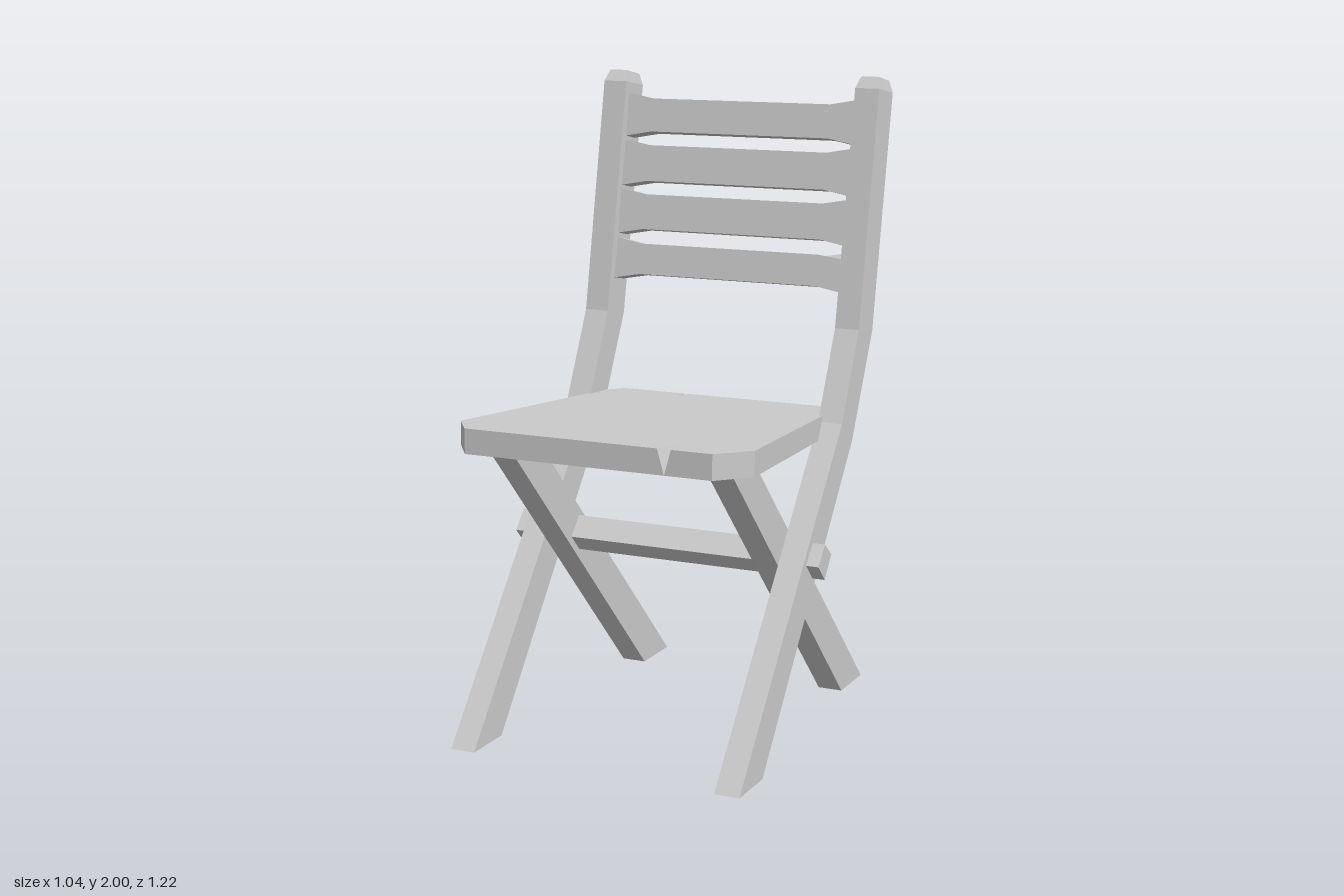
import * as THREE from 'three';

const material = new THREE.MeshStandardMaterial({ color: 0xcccccc, flatShading: true });

// Closed solid through a list of four-cornered cross-sections
function loft(name, rings) {
  const pos = [];
  const quad = (a, b, c, d) => pos.push(...a, ...b, ...c, ...a, ...c, ...d);
  for (let r = 0; r < rings.length - 1; r++) {
    for (let i = 0; i < 4; i++) {
      const j = (i + 1) % 4;
      quad(rings[r][i], rings[r][j], rings[r + 1][j], rings[r + 1][i]);
    }
  }
  const [a, b, c, d] = rings[0];
  quad(d, c, b, a);
  quad(...rings[rings.length - 1]);
  const geometry = new THREE.BufferGeometry();
  geometry.setAttribute('position', new THREE.Float32BufferAttribute(pos, 3));
  geometry.computeVertexNormals();
  const mesh = new THREE.Mesh(geometry, material);
  mesh.name = name;
  return mesh;
}

// Upright member: each section is [front z, front y, back z, back y, inset]
function upright(name, x0, x1, sections) {
  return loft(name, sections.map(([fz, fy, bz, by, inset = 0]) => [
    [x0 + inset, fy, fz], [x1 - inset, fy, fz],
    [x1 - inset, by, bz], [x0 + inset, by, bz],
  ]));
}

// Back slat with flared ends, tilted with the posts; chip lowers one corner
function slat(top, bottom, chip = 0) {
  const lean = 0.195, thick = 0.065;
  const ring = (x, flare, drop) => {
    const front = (y) => [x, y, -0.49 + (1.91 - y) * lean];
    const back = (y) => [x, y - thick * lean, front(y)[2] - thick];
    const hi = top + flare, lo = bottom - flare;
    return [front(lo), back(lo), back(hi), front(hi - drop)];
  };
  return loft('backSlat', [
    ring(-0.41, 0.018, 0), ring(-0.31, 0, 0), ring(0.31, 0, 0), ring(0.41, 0.018, chip),
  ]);
}

// Sloping seat board with clipped corners, a split in front and a crack behind
function seat() {
  const outline = [
    [-0.4, 0.61], [0.228, 0.61], [0.26, 0.495], [0.272, 0.61], [0.4, 0.61],
    [0.48, 0.495], [0.402, -0.3], [0.364, -0.377],
    [-0.134, -0.377], [-0.135, -0.29], [-0.145, -0.377],
    [-0.364, -0.377], [-0.402, -0.3], [-0.48, 0.495],
  ];
  const shape = new THREE.Shape(outline.map(([x, z]) => new THREE.Vector2(x, -z)));
  const geometry = new THREE.ExtrudeGeometry(shape, { depth: 1, bevelEnabled: false });
  const p = geometry.attributes.position;
  for (let i = 0; i < p.count; i++) {
    let x = p.getX(i), z = -p.getY(i);
    const isTop = p.getZ(i) > 0.5;
    // both splits close to a point at the underside
    if (!isTop && Math.abs(x - 0.25) < 0.03) { x = 0.25; z = 0.61; }
    if (!isTop && Math.abs(x + 0.14) < 0.02) { x = -0.14; z = -0.377; }
    p.setXYZ(i, x, isTop ? 0.98 + 0.0537 * z : 0.906 + 0.0486 * z, z);
  }
  geometry.computeVertexNormals();
  const mesh = new THREE.Mesh(geometry, material);
  mesh.name = 'seat';
  return mesh;
}

export function createModel() {
  const chair = new THREE.Group();
  chair.name = 'foldingChair';

  for (const side of [-1, 1]) {
    const span = (a, b) => (side > 0 ? [a, b] : [-b, -a]);
    // bent front leg that continues up as the back post
    chair.add(upright('frontLegAndBackPost', ...span(0.4, 0.48), [
      [0.59, 0, 0.42, 0],
      [-0.19, 0.95, -0.28, 0.88],
      [-0.325, 1.225, -0.445, 1.205],
      [-0.47, 1.965, -0.594, 1.945],
      [-0.495, 2.0, -0.588, 1.982, 0.01],
    ]));
    // straight rear leg crossing forward to the seat
    chair.add(upright('rearLeg', ...span(0.32, 0.4), [
      [-0.43, 0, -0.61, 0],
      [0.5, 0.95, 0.325, 0.94],
    ]));
  }

  chair.add(seat());

  // crossbar through the leg joints
  chair.add(loft('crossbar', [-0.52, 0.52].map((x) => [
    [x, 0.568, 0.095], [x, 0.515, 0.042], [x, 0.583, -0.011], [x, 0.626, 0.042],
  ])));

  // back slats, from the top down
  for (const args of [[1.91, 1.804], [1.76, 1.645], [1.602, 1.49], [1.443, 1.345, 0.03]]) {
    chair.add(slat(...args));
  }
  return chair;
}
